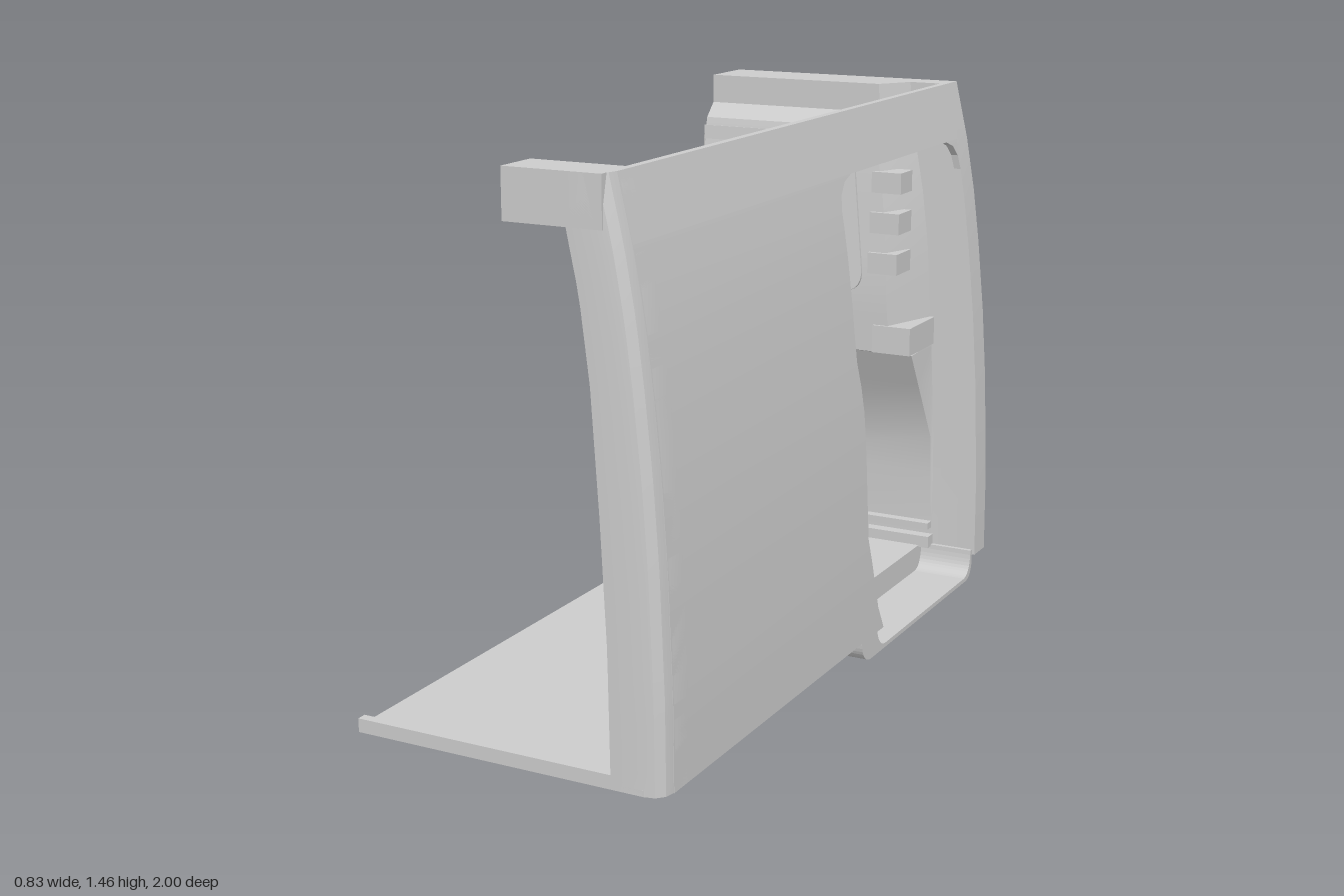
import * as THREE from 'three';
import { toCreasedNormals } from 'three/addons/utils/BufferGeometryUtils.js';

const grey = new THREE.MeshStandardMaterial({ color: 0xcccccc, side: THREE.DoubleSide });
const red = new THREE.MeshStandardMaterial({ color: 0xc01018, side: THREE.DoubleSide });
const dark = new THREE.MeshStandardMaterial({ color: 0x333333 });

// Piecewise interpolation through [y, value] pairs
function along(table, y) {
  for (let i = 1; i < table.length; i++) {
    const [a, va] = table[i - 1], [b, vb] = table[i];
    if (y <= b) return THREE.MathUtils.lerp(va, vb, Math.max(0, (y - a) / (b - a)));
  }
  return table[table.length - 1][1];
}

// Outer skin, inner rear edge, and the front wall's face
const SKIN = [[0.07, 0.41], [0.3, 0.408], [0.6, 0.396], [0.8, 0.382], [1, 0.362], [1.15, 0.343], [1.3, 0.317], [1.46, 0.28]];
const INNER = [[0.07, 0.275], [0.4, 0.27], [0.7, 0.255], [1, 0.235], [1.2, 0.21], [1.34, 0.18], [1.46, 0.17]];
const FACE = [[0.07, -0.92], [0.15, -0.92], [0.42, -0.91], [0.69, -0.78], [0.7, -0.745], [0.87, -0.74],
  [1.3, -0.78], [1.34, -0.79], [1.38, -0.83], [1.46, -0.83]];
const skinX = y => along(SKIN, y);
const levels = (from, to, n) => Array.from({ length: n + 1 }, (_, i) => from + (to - from) * i / n);

// Solid from stacked [x, z] loops, anticlockwise from above
function loft(ys, section) {
  const pos = [], rows = ys.map(y => section(y).map(([x, z]) => [x, y, z]));
  const n = rows[0].length;
  for (let i = 0; i + 1 < rows.length; i++) {
    for (let j = 0; j < n; j++) {
      const k = (j + 1) % n, a = rows[i][j], b = rows[i][k], c = rows[i + 1][k], d = rows[i + 1][j];
      pos.push(...a, ...b, ...c, ...a, ...c, ...d);
    }
  }
  const cap = (row, flip) => {
    const flat = row.map(p => new THREE.Vector2(p[0], -p[2]));
    for (const [a, b, c] of THREE.ShapeUtils.triangulateShape(flat, [])) {
      pos.push(...row[a], ...row[flip ? c : b], ...row[flip ? b : c]);
    }
  };
  cap(rows[0], true);
  cap(rows[rows.length - 1], false);
  const g = new THREE.BufferGeometry();
  g.setAttribute('position', new THREE.Float32BufferAttribute(pos, 3));
  g.computeVertexNormals();
  return toCreasedNormals(g, 0.45);
}

function polygon(points) {
  return new THREE.Shape(points.map(p => new THREE.Vector2(...p)));
}

const extrude = (shape, depth) => new THREE.ExtrudeGeometry(shape, { depth, bevelEnabled: false, curveSegments: 10 });

export function createModel() {
  const group = new THREE.Group();
  const add = (name, geometry, material = grey) => {
    const mesh = new THREE.Mesh(geometry, material);
    mesh.name = name;
    group.add(mesh);
    return mesh;
  };
  // Box given by its limits on each axis
  const box = (name, x0, x1, y0, y1, z0, z1, material) =>
    add(name, new THREE.BoxGeometry(x1 - x0, y1 - y0, z1 - z0), material)
      .position.set((x0 + x1) / 2, (y0 + y1) / 2, (z0 + z1) / 2);

  // Front wall with sloped foot, proud ledge and receding outer corner
  const faceLevels = [...new Set([...FACE, ...SKIN].map(p => p[0]))].sort((a, b) => a - b);
  add('frontWall', loft(faceLevels, y => {
    const x = skinX(y), xi = along(INNER, y), f = along(FACE, y);
    const xb = y < 0.695 ? xi - 0.005 : xi - 0.06;
    return [[x, -0.92], [x, -1], [-0.42, -1], [-0.42, f], [xb, f], [xi, -0.921]];
  }));

  // Side skin behind the doorway; its front edge follows the door outline
  const DOOR_REAR = [[0.07, -0.235], [0.13, -0.2], [0.35, -0.13], [0.72, -0.125], [0.84, -0.095], [1.22, -0.095],
    [1.26, -0.105], [1.29, -0.135], [1.305, -0.18]];
  const lower = [...levels(0.07, 1.18, 16), 1.22, 1.26, 1.29, 1.305];
  const strip = (y, z0, z1) => {
    const x = skinX(y);
    return [[x, z1], [x, z0], [x - 0.02, z0], [x - 0.02, z1]];
  };
  add('sideSkin', loft(lower, y => strip(y, along(DOOR_REAR, y), 0.95)));
  const DOOR_FRONT = [[1.22, -0.92], [1.26, -0.912], [1.29, -0.885], [1.305, -0.84]];
  add('doorFrontCorner', loft([1.22, 1.26, 1.29, 1.305], y => strip(y, -0.93, along(DOOR_FRONT, y))));
  add('sideSkinTop', loft(levels(1.305, 1.46, 5), y => strip(y, -0.93, 0.95)));

  // Rear pillar with rounded outer corner
  add('rearPillar', loft(levels(0.07, 1.46, 24), y => {
    const x = skinX(y), xi = along(INNER, y);
    return [[x - 0.055, 1], [x - 0.025, 0.994], [x - 0.007, 0.975], [x, 0.945], [x, 0.88],
      [x - 0.02, 0.88], [xi + 0.02, 0.94], [xi, 0.96], [xi, 1]];
  }));
  box('rearHeader', 0.02, 0.27, 1.34, 1.46, 0.88, 1);

  // Floor, notched for the entry step
  const floor = extrude(polygon([[-0.42, -1], [0.405, -1], [0.405, -0.92], [0.24, -0.92], [0.24, -0.13],
    [0.405, -0.13], [0.405, 0.95], [0.36, 1], [-0.42, 1]]), 0.015);
  floor.rotateX(Math.PI / 2);
  add('floor', floor).position.y = 0.085;
  box('floorRearLip', -0.42, 0.28, 0.08, 0.105, 0.975, 1);
  box('floorFrontLip', -0.42, 0.275, 0.08, 0.115, -0.93, -0.885);
  box('footRail', -0.36, 0.27, 0.135, 0.155, -0.93, -0.89);

  // Entry step: rounded trough sunk below the floor
  const trough = new THREE.Shape();
  trough.moveTo(-0.92, 0.085);
  trough.lineTo(-0.92, 0.05);
  trough.quadraticCurveTo(-0.915, 0, -0.87, 0);
  trough.lineTo(-0.17, 0);
  trough.quadraticCurveTo(-0.11, 0.005, -0.11, 0.07);
  trough.lineTo(-0.205, 0.085);
  trough.quadraticCurveTo(-0.22, 0.012, -0.27, 0.012);
  trough.lineTo(-0.86, 0.012);
  trough.quadraticCurveTo(-0.905, 0.015, -0.908, 0.085);
  const step = add('entryStep', extrude(trough, 0.17));
  step.rotation.y = -Math.PI / 2;
  step.position.x = 0.402;
  box('stepRiser', 0.232, 0.245, 0.005, 0.085, -0.91, -0.13);

  // Framed window panel, tilted with the front wall
  const windowOutline = (x, y0, y1, r) => {
    const s = new THREE.Shape();
    s.moveTo(-0.42, y0);
    s.lineTo(x - r, y0);
    s.quadraticCurveTo(x + 0.01, y0, x, y0 + r);
    s.lineTo(x - 0.04, y1 - r);
    s.quadraticCurveTo(x - 0.05, y1, x - 0.04 - r, y1);
    s.lineTo(-0.42, y1);
    return s;
  };
  const windowPanel = new THREE.Group();
  windowPanel.name = 'windowPanel';
  const addFrame = (name, outer, inner, depth) => {
    outer.holes.push(inner);
    const mesh = new THREE.Mesh(extrude(outer, depth), grey);
    mesh.name = name;
    windowPanel.add(mesh);
  };
  addFrame('windowFrame', windowOutline(0.105, 0, 0.45, 0.07), windowOutline(0.082, 0.025, 0.425, 0.06), 0.008);
  addFrame('windowSeal', windowOutline(0.082, 0.025, 0.425, 0.06), windowOutline(0.065, 0.04, 0.41, 0.05), 0.004);
  windowPanel.position.set(0, 0.87, -0.74);
  windowPanel.rotation.x = -Math.atan(0.04 / 0.43);
  group.add(windowPanel);

  // Louvres beside the window, and brackets on the ledge
  for (let i = 0; i < 3; i++) {
    const y = 0.93 + i * 0.115;
    box('louvre', 0.125, 0.215, y, y + 0.06, -0.84, -0.738 - i * 0.01);
  }
  box('ledgeEnd', 0.145, 0.262, 0.7, 0.78, -0.92, -0.735);
  for (const [x0, x1] of [[-0.42, -0.39], [-0.12, -0.06]]) box('ledgeBracket', x0, x1, 0.7, 0.82, -0.78, -0.735);

  // Red inner panel with wheel arch, turned-out top and a rear foot
  const panel = polygon([[-0.02, 0.8], [-0.02, 0.26], [0.1, 0.26]]);
  panel.quadraticCurveTo(0.2, 0.38, 0.4, 0.39);
  panel.quadraticCurveTo(0.62, 0.38, 0.74, 0.23);
  panel.lineTo(0.75, 0.42);
  panel.lineTo(0.8, 0.8);
  const innerPanel = add('innerPanel', extrude(panel, 0.03), red);
  innerPanel.rotation.y = -Math.PI / 2;
  innerPanel.position.x = 0.345;
  add('innerPanelTop', loft([0.8, 0.87], y => {
    const x = y > 0.83 ? 0.355 : 0.345;
    return [[x, 0.81], [x, -0.02], [x - 0.03, -0.02], [x - 0.03, 0.81]];
  }), red);
  add('innerPanelFoot', loft([0.25, 0.42], y => {
    const z = y > 0.3 ? 0.76 : 0.9;
    return [[0.345, z], [0.345, 0.73], [0.315, 0.73], [0.315, z]];
  }), red);
  box('ventPlate', 0.308, 0.32, 0.46, 0.64, 0.42, 0.6, dark);
  box('panelFoot', 0.29, 0.36, 0.18, 0.24, 0.76, 0.9);
  return group;
}
